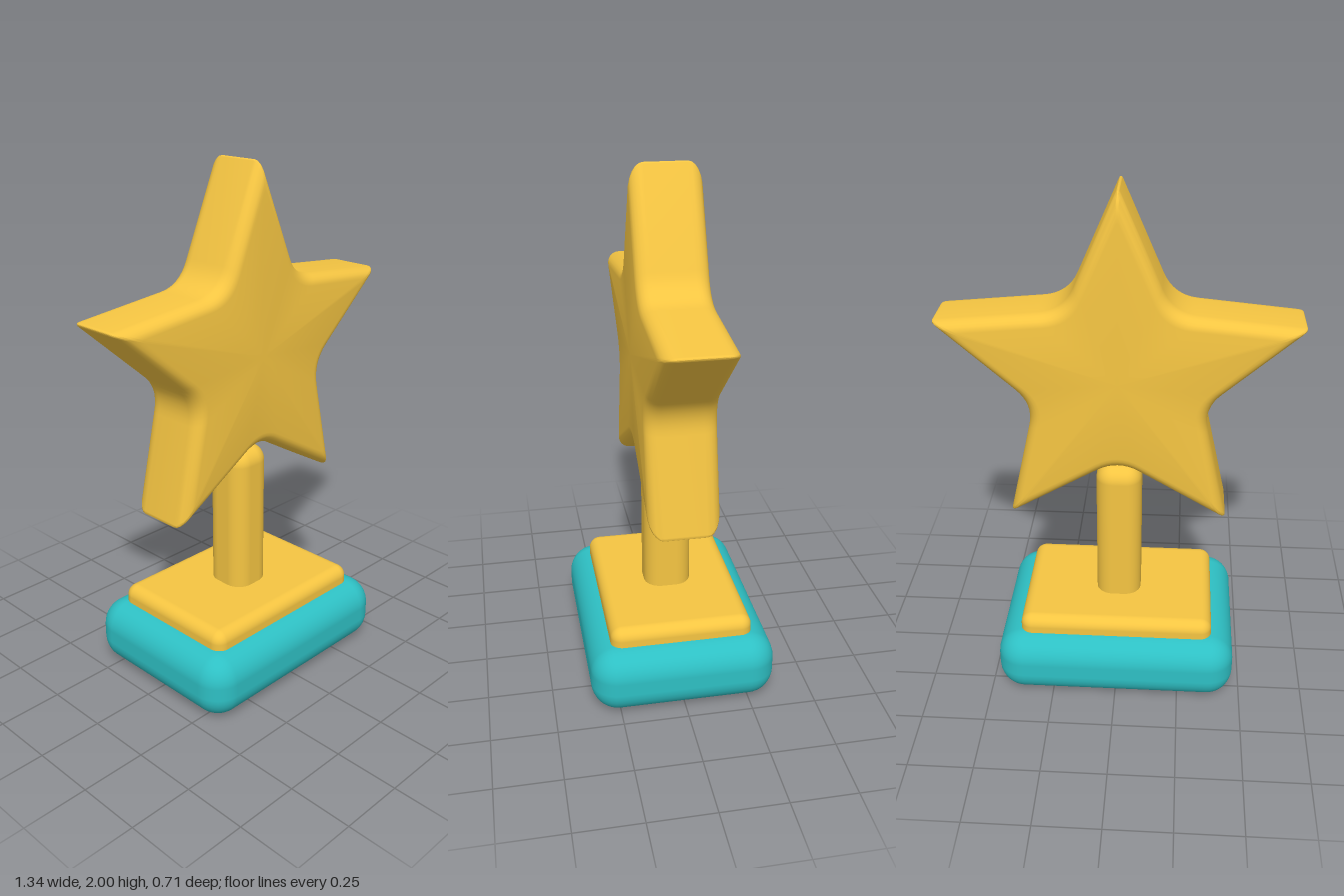
import * as THREE from 'three';
import { toCreasedNormals } from 'three/addons/utils/BufferGeometryUtils.js';
import { RoundedBoxGeometry } from 'three/addons/geometries/RoundedBoxGeometry.js';

const gold = new THREE.MeshStandardMaterial({ color: 0xf5c542 });
const teal = new THREE.MeshStandardMaterial({ color: 0x2ec0c4 });

// Rounded block spanning y0..y1
function block(name, w, d, y0, y1, radius, material) {
  const mesh = new THREE.Mesh(new RoundedBoxGeometry(w, y1 - y0, d, 5, radius), material);
  mesh.position.y = (y0 + y1) / 2;
  mesh.name = name;
  return mesh;
}

// Five-pointed outline, counter-clockwise, moved inwards by inset, with rounded corners
function starOutline(inset) {
  const corners = [];
  for (let i = 0; i < 10; i++) {
    const r = i % 2 ? 0.33 - inset * 1.155 : 0.713 - inset * 2.46;
    const a = Math.PI / 2 + (i * Math.PI) / 5;
    corners.push(new THREE.Vector2(Math.cos(a) * r, Math.sin(a) * r));
  }
  return corners.flatMap((c, i) => {
    const cut = i % 2 ? 0.095 : 0.02;
    const toward = (p) => c.clone().add(p.clone().sub(c).setLength(cut));
    const start = toward(corners[(i + 9) % 10]);
    const end = toward(corners[(i + 1) % 10]);
    return new THREE.QuadraticBezierCurve(start, c, end).getPoints(8);
  });
}

// Star lofted through outlines from back to front, with soft rims
function starGeometry() {
  const half = 0.134, bevelDepth = 0.055, bevelInset = 0.042, steps = 6;
  const front = [];
  for (let i = 0; i <= steps; i++) {
    const t = (i / steps) * Math.PI / 2;
    front.push([half - bevelDepth * (1 - Math.sin(t)), bevelInset * (1 - Math.cos(t))]);
  }
  const back = front.map(([z, inset]) => [-z, inset]).reverse();
  const rings = [...back, ...front];

  const positions = [], index = [];
  let n = 0;
  for (const [z, inset] of rings) {
    const outline = starOutline(inset);
    n = outline.length;
    for (const p of outline) positions.push(p.x, p.y, z);
  }
  const backCentre = positions.length / 3;
  positions.push(0, 0, -half, 0, 0, half);
  const last = (rings.length - 1) * n;
  for (let j = 0; j < n; j++) {
    const k = (j + 1) % n;
    for (let i = 0; i < rings.length - 1; i++) {
      const a = i * n + j, b = i * n + k;
      index.push(a, b, b + n, a, b + n, a + n);
    }
    index.push(backCentre, k, j, backCentre + 1, last + j, last + k);
  }
  const geometry = new THREE.BufferGeometry();
  geometry.setAttribute('position', new THREE.Float32BufferAttribute(positions, 3));
  geometry.setIndex(index);
  return toCreasedNormals(geometry, 0.7);
}

export function createModel() {
  const model = new THREE.Group();
  model.name = 'starTrophy';

  // Stepped foot and post
  model.add(block('base', 0.94, 0.715, 0, 0.26, 0.105, teal));
  model.add(block('plate', 0.76, 0.55, 0.2, 0.328, 0.045, gold));
  model.add(block('post', 0.178, 0.185, 0.22, 0.912, 0.065, gold));

  // Star
  const star = new THREE.Mesh(starGeometry(), gold);
  star.name = 'star';
  star.position.y = 1.296;
  model.add(star);

  return model;
}
